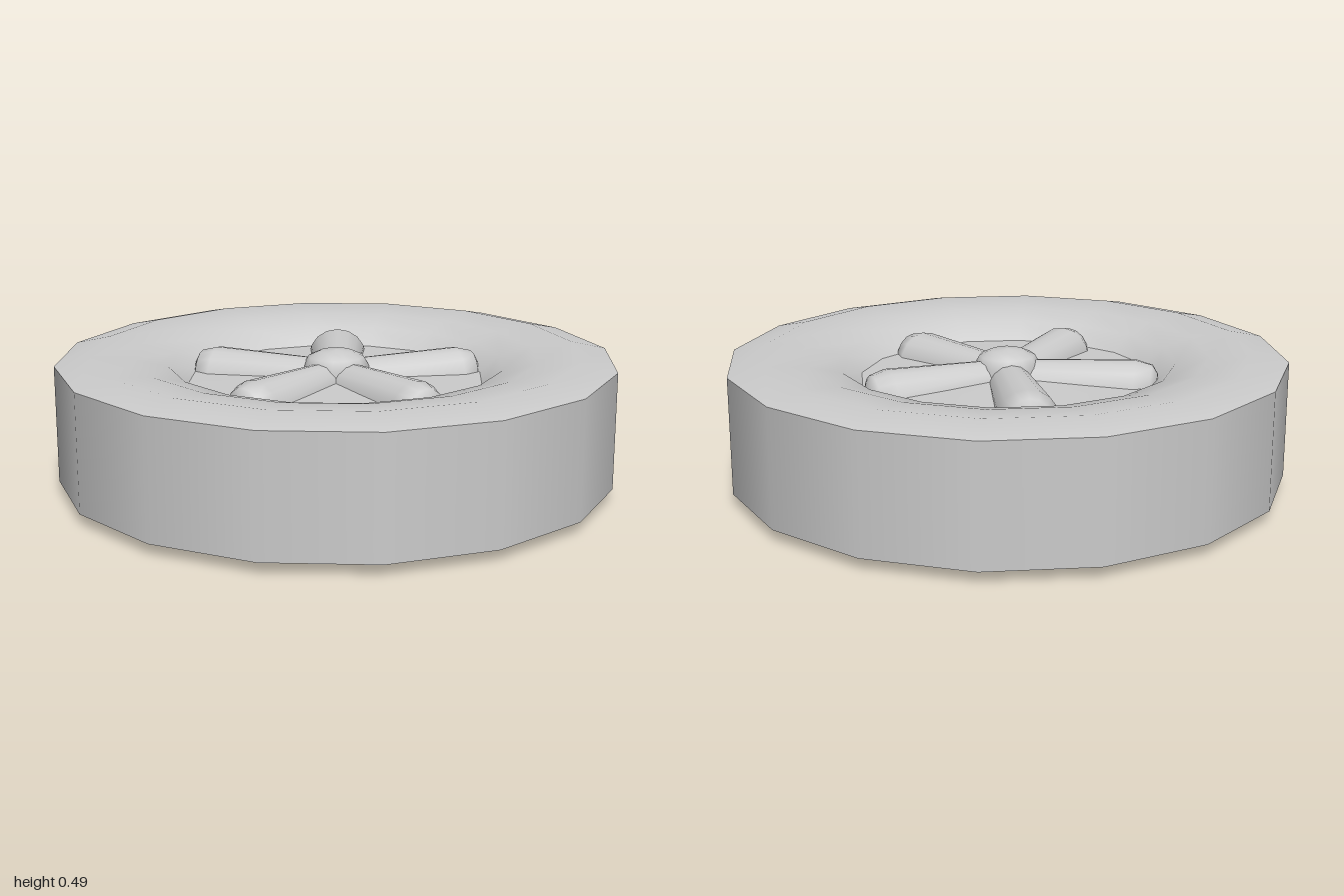
import * as THREE from 'three';

const material = new THREE.MeshStandardMaterial({ color: 0xcccccc });

function lathe(name, points, sides = 16) {
  const profile = points.map(([r, y]) => new THREE.Vector2(r, y));
  const mesh = new THREE.Mesh(new THREE.LatheGeometry(profile, sides), material);
  mesh.name = name;
  return mesh;
}

// Half-round spoke lofted along +z from sections of [z, halfWidth, topHeight]
function spokeGeometry() {
  const base = 0.36, steps = 8;
  const sections = [[0.04, 0.08, 0.45], [0.46, 0.11, 0.465], [0.52, 0.08, 0.45], [0.54, 0.035, 0.42], [0.54, 0, base]];
  const positions = [], index = [];
  sections.forEach(([z, w, top]) => {
    for (let i = 0; i <= steps; i++) {
      const a = (Math.PI * i) / steps;
      positions.push(w * Math.cos(a), base + (top - base) * Math.sin(a), z);
    }
  });
  const row = steps + 1;
  for (let s = 0; s < sections.length - 1; s++) {
    for (let i = 0; i < steps; i++) {
      const a = s * row + i, b = a + 1, c = a + row, d = c + 1;
      index.push(a, b, c, b, d, c);
    }
  }
  const geometry = new THREE.BufferGeometry();
  geometry.setAttribute('position', new THREE.Float32BufferAttribute(positions, 3));
  geometry.setIndex(index);
  geometry.computeVertexNormals();
  return geometry;
}

export function createModel() {
  const wheel = new THREE.Group();
  wheel.name = 'wheel';

  // Tyre: tread and the two rounded sidewalls
  wheel.add(
    lathe('tread', [[1, 0.04], [1, 0.46]]),
    lathe('outerSidewall', [[1, 0.46], [0.87, 0.49], [0.72, 0.475], [0.6, 0.445], [0.53, 0.385]]),
    lathe('innerSidewall', [[0.54, 0.1], [0.64, 0.04], [0.74, 0.01], [0.87, 0], [1, 0.04]]),
  );

  // Wheel disc, closed on both faces
  wheel.add(
    lathe('outerDisc', [[0.54, 0.385], [0.3, 0.39], [0, 0.4]]),
    lathe('innerDisc', [[0, 0.1], [0.55, 0.1]]),
  );

  // Five spokes around the hub
  const geometry = spokeGeometry();
  for (let i = 0; i < 5; i++) {
    const spoke = new THREE.Mesh(geometry, material);
    spoke.name = 'spoke' + (i + 1);
    spoke.rotation.y = (i * Math.PI * 2) / 5;
    wheel.add(spoke);
  }

  // Domed hub cap
  wheel.add(lathe('hubCap', [[0.12, 0.36], [0.12, 0.43], [0.1, 0.465], [0.06, 0.483], [0, 0.49]], 12));
  return wheel;
}
